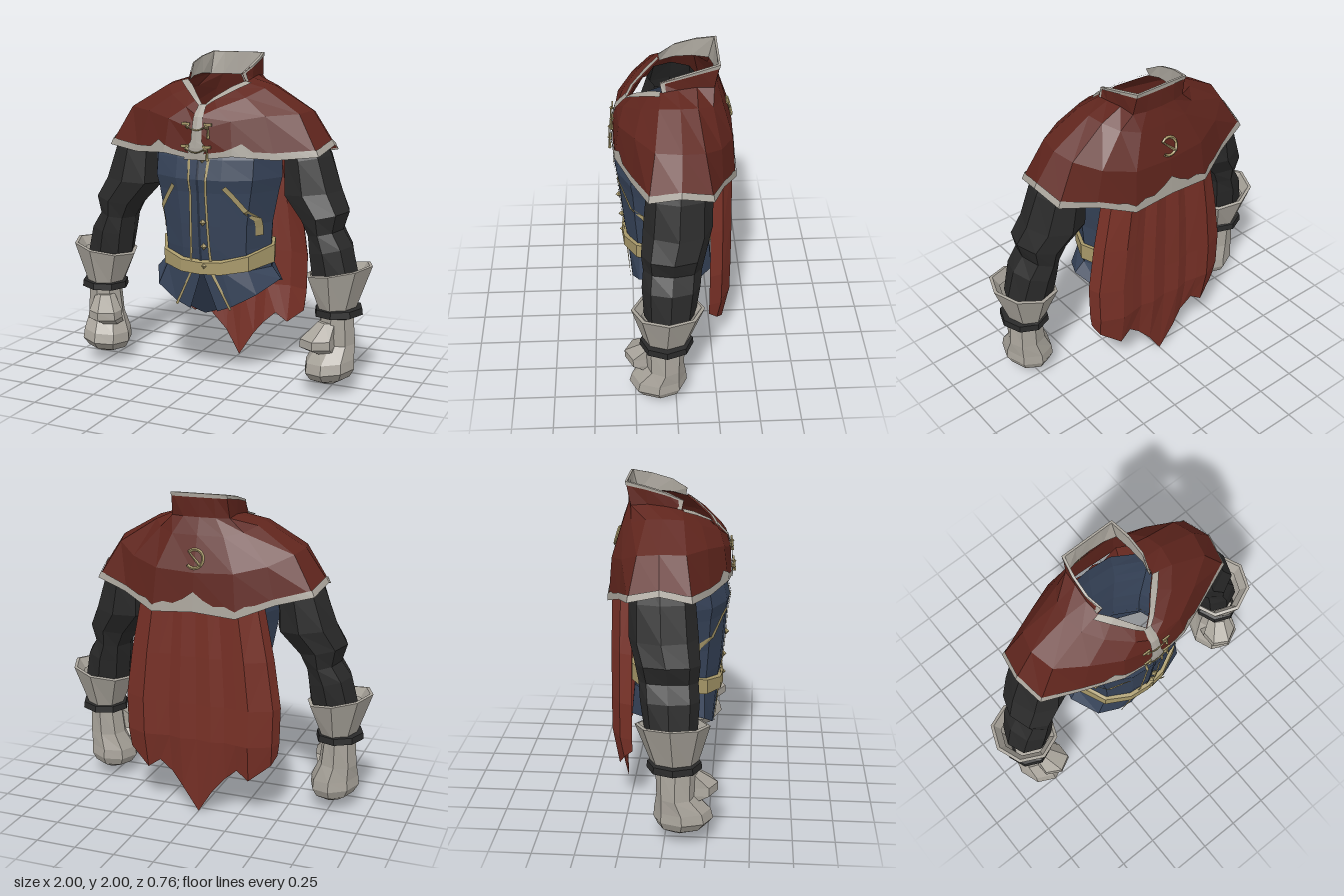
import * as THREE from 'three';

const mats = {};
const mat = (color) => (mats[color] ??= new THREE.MeshStandardMaterial({ color, flatShading: true, side: THREE.DoubleSide }));
const RED = 0x60251d, CAPE = 0x773026, BLUE = 0x37445a, NAVY = 0x252f40, BLACK = 0x292929, GOLD = 0xa8996a, GREY = 0xaaa59c;

const mirror = (p) => [-p[0], p[1], p[2]];
const lerp = (p, q, t) => p.map((v, i) => v + (q[i] - v) * t);
// half outline (front centre -> +x -> back centre) to a full loop
const full = (h) => [...h, ...h.slice(1, -1).reverse().map(mirror)];

// surface through rows of points, running from top to bottom
function loft(rows, { closed = true, cap = false } = {}) {
  const pos = [], n = rows[0].length;
  for (let i = 0; i < rows.length - 1; i++) {
    for (let j = 0; j < (closed ? n : n - 1); j++) {
      const k = (j + 1) % n, a = rows[i][j], b = rows[i][k], c = rows[i + 1][k], d = rows[i + 1][j];
      pos.push(...a, ...d, ...c, ...a, ...c, ...b);
    }
  }
  if (cap) {
    const top = rows[0], low = rows[rows.length - 1];
    for (let j = 1; j < n - 1; j++) pos.push(...top[0], ...top[j], ...top[j + 1], ...low[0], ...low[j + 1], ...low[j]);
  }
  const g = new THREE.BufferGeometry();
  g.setAttribute('position', new THREE.Float32BufferAttribute(pos, 3));
  g.computeVertexNormals();
  return g;
}

// torso levels: y, half width, front depth, back depth
const LEVELS = [[1.55, .38, .26, .28], [1.4, .42, .32, .275], [1.28, .42, .345, .26], [1.2, .4, .33, .25],
  [1, .36, .315, .24], [.85, .35, .3, .24], [.7, .355, .275, .24]];
const UNIT = [[0, 1], [.35, .96], [.75, .72], [1, .1], [.82, -.6], [.4, -.95], [0, -1]];
function section(y, grow = 0) {
  let i = 0;
  while (i < LEVELS.length - 2 && LEVELS[i + 1][0] > y) i++;
  const A = LEVELS[i], B = LEVELS[i + 1];
  const [, w, f, b] = lerp(A, B, (A[0] - y) / (A[0] - B[0]));
  return UNIT.map(([u, v]) => [u * (w + grow), y, v * ((v > 0 ? f : b) + grow)]);
}
function frontZ(x, y) {
  const s = section(y), ax = Math.abs(x);
  let i = 0;
  while (i < 2 && s[i + 1][0] < ax) i++;
  return s[i][2] + (s[i + 1][2] - s[i][2]) * (ax - s[i][0]) / (s[i + 1][0] - s[i][0]);
}

// capelet outlines from neckline to hem
const NECK = [[0, 1.7, .25], [.05, 1.75, .21], [.13, 1.81, .12], [.19, 1.84, .06], [.2, 1.86, -.03], [.19, 1.87, -.14], [.18, 1.86, -.24], [.1, 1.86, -.26], [0, 1.86, -.265]];
const YOKE = [[0, 1.65, .32], [.1, 1.7, .28], [.24, 1.76, .18], [.32, 1.81, .08], [.34, 1.82, -.04], [.32, 1.81, -.14], [.26, 1.78, -.23], [.16, 1.76, -.29], [0, 1.76, -.3]];
const CHEST = [[0, 1.57, .345], [.2, 1.63, .31], [.38, 1.66, .22], [.55, 1.67, .11], [.585, 1.68, -.04], [.55, 1.66, -.17], [.42, 1.6, -.27], [.24, 1.56, -.35], [0, 1.55, -.36]];
const HEM = [[0, 1.41, .35], [.22, 1.44, .335], [.45, 1.42, .24], [.68, 1.44, .15], [.715, 1.49, -.03], [.68, 1.44, -.21], [.47, 1.39, -.28], [.26, 1.31, -.37], [0, 1.33, -.375]];
const COLLAR = [[.17, 1.89, .07], [.2, 1.94, -.03], [.195, 1.975, -.15], [.17, 2, -.27], [.09, 2, -.27], [0, 2, -.27]];

// arm rings: y, centre x, centre z, radius x, radius z, tilt
const SLEEVE = [[1.55, .5, -.03, .13, .16, .2], [1.4, .565, -.025, .145, .19, .15], [1.2, .6, -.015, .185, .2, .1], [1.07, .69, .015, .15, .185, .2],
  [.97, .7, .02, .105, .17, .2], [.87, .735, .03, .135, .17, .2], [.68, .77, .04, .15, .15, .1]];
const CUFF = [[.7, .79, .05, .15, .155, .2], [.755, .795, .05, .185, .195, .2], [.75, .795, .05, .205, .215, .2], [.51, .79, .06, .11, .135, 0]];
const STRAP = [[.535, .8, .06, .1, .12, 0], [.525, .8, .06, .145, .155, .05], [.485, .8, .06, .15, .16, .05], [.47, .8, .06, .09, .11, 0]];
const HAND = [[.5, .795, .07, .1, .12, 0], [.31, .79, .07, .12, .115, 0], [.21, .765, .105, .15, .165, .1], [.15, .765, .11, .155, .175, .1], [.1, .765, .1, .125, .14, .1], [.07, .755, .09, .07, .08, 0]];
const THUMB = [[.45, .76, .14, .06, .06, 0], [.36, .72, .21, .105, .1, 0], [.31, .72, .21, .11, .1, 0], [.265, .73, .14, .09, .08, 0]];

export function createModel() {
  const root = new THREE.Group();
  const add = (name, geo, color, parent = root) => {
    const m = new THREE.Mesh(geo, mat(color));
    m.name = name;
    parent.add(m);
    return m;
  };
  // strip between two half edges, drawn on both sides of the body
  const pair = (name, rows, color) => {
    add(name + 'Left', loft(rows, { closed: false }), color);
    add(name + 'Right', loft(rows.map((r) => r.map(mirror).reverse()), { closed: false }), color);
  };

  // hollow torso, belt and coat skirt
  add('torso', loft(LEVELS.map((l) => full(section(l[0])))), BLUE);
  const beltEdge = (grow, side, dip) => full(section(.78, grow).map(([x, , z]) => [x, side - dip * Math.max(0, z / .3) ** 2, z]));
  add('belt', loft([beltEdge(0, .86, .085), beltEdge(.022, .86, .085), beltEdge(.022, .75, .05), beltEdge(0, .75, .05)]), GOLD);
  const skirtHem = [[.09, .46, .255], [.19, .5, .25], [.33, .58, .21], [.42, .65, .04], [.36, .59, -.15], [.17, .53, -.25], [0, .61, -.25]];
  pair('skirt', [section(.72, .005), skirtHem], BLUE);
  pair('innerFlap', [[[0, .72, .265], [.03, .72, .265]], [[0, .435, .235], [.13, .48, .235]]], NAVY);

  // gold piping laid on the coat front
  const piping = (name, pts, w, lift) => {
    const at = (x, y) => [x, y, (y < .7 ? .278 - (.7 - y) * .12 : frontZ(x, y)) + lift];
    const edge = (s) => pts.map(([x, y], i) => {
      const p = pts[Math.max(0, i - 1)], q = pts[Math.min(pts.length - 1, i + 1)], l = Math.hypot(q[0] - p[0], q[1] - p[1]);
      return at(x - s * w * (q[1] - p[1]) / l, y + s * w * (q[0] - p[0]) / l);
    });
    pair(name, [edge(-1), edge(1)], GOLD);
  };
  piping('frontPiping', [[.065, 1.43], [.055, 1.28], [.05, 1.2], [.055, 1], [.06, .85], [.07, .7], [.18, .48]], .008, .01);
  piping('pocket', [[.165, 1.24], [.2, 1.195], [.24, 1.14], [.275, 1.09], [.315, 1.03], [.317, .98], [.315, .93]], .014, .016);
  pair('frontSeam', [LEVELS.slice(1).map(([y]) => [0, y, frontZ(0, y) + .006]), LEVELS.slice(1).map(([y]) => [.008, y, frontZ(.008, y) + .006])], NAVY);
  for (const y of [1.4, 1.02, .87, .75]) {
    add('button', new THREE.OctahedronGeometry(.022), GOLD).position.set(.025, y, frontZ(.025, y) + (y < .8 ? .022 : .008));
  }

  // capelet with its hem, neckline and collar
  add('capelet', loft([NECK, YOKE, CHEST, HEM].map(full)), RED);
  const peaks = { 4: .2, 5: .34, 6: .13, 13: .12, 27: .18, 29: .22, 30: .18, 31: .3, 32: .5 };
  const low = [], high = [];
  for (let k = 0; k <= 32; k++) {
    const i = Math.min(7, k >> 2), t = (k - 4 * i) / 4;
    const h = lerp(HEM[i], HEM[i + 1], t), c = lerp(CHEST[i], CHEST[i + 1], t);
    const out = ([x, y, z], dy) => [x * 1.012, y + dy, z * 1.02];
    low.push(out(h, -.01));
    high.push(out(lerp(h, c, peaks[k] ?? .13), 0));
  }
  add('hemTrim', loft([full(high), full(low)]), GREY);
  const raise = ([x, y, z]) => [x, y + .008, z + .006];
  pair('neckTrim', [NECK.slice(0, 4).map(raise), NECK.slice(0, 4).map((p, i) => raise(lerp(p, YOKE[i], .32)))], GREY);
  const base = NECK.slice(3);
  pair('collar', [COLLAR, base], RED);
  const inset = ([x, y, z]) => [x * .95, y, z > 0 ? z : z + .01];
  pair('collarLining', [COLLAR.map(inset), base.map(inset)], GREY);
  const outset = ([x, y, z]) => [x * 1.02, y, z - .003];
  pair('collarTrim', [COLLAR.map(inset), COLLAR.map(outset), COLLAR.map((p, i) => outset(lerp(p, base[i], .17)))], GREY);
  pair('collarFrontTrim', [[COLLAR[0], lerp(COLLAR[0], COLLAR[1], .25)].map(outset), [base[0], lerp(base[0], base[1], .25)].map(outset)], GREY);
  const placket = [[1.72, .025, .262], [1.65, .03, .33], [1.57, .032, .352], [1.51, .035, .357], [1.47, .065, .36], [1.44, .05, .36], [1.4, .085, .358]];
  pair('placket', [placket.map(([y, , z]) => [0, y, z]), placket.map(([y, w, z]) => [w, y, z - .003])], GREY);

  // two clasps with hanging chains
  for (const [y, z] of [[1.6, .345], [1.47, .36]]) {
    const clasp = new THREE.Group();
    clasp.name = 'clasp';
    clasp.position.set(0, y, z);
    root.add(clasp);
    for (const s of [-1, 1]) {
      add('claspPlate', new THREE.BoxGeometry(.05, .016, .01), GOLD, clasp).position.set(s * .07, .01, 0);
      add('claspStud', new THREE.OctahedronGeometry(.015), GOLD, clasp).position.set(s * .06, -.005, .004);
    }
    const sag = new THREE.QuadraticBezierCurve3(new THREE.Vector3(-.06, 0, .008), new THREE.Vector3(0, -.05, .012), new THREE.Vector3(.06, 0, .008));
    add('claspChain', new THREE.TubeGeometry(sag, 6, .004, 4), GOLD, clasp);
    add('claspTassel', new THREE.CylinderGeometry(.004, .01, .07, 4), GOLD, clasp).position.set(.075, -.035, .006);
  }

  // crescent ornament on the back
  const ornament = new THREE.Group();
  ornament.name = 'backOrnament';
  ornament.position.set(0, 1.63, -.343);
  ornament.rotation.x = .28;
  root.add(ornament);
  add('crescent', new THREE.TorusGeometry(.055, .009, 4, 12, Math.PI * 1.5), GOLD, ornament).rotation.z = Math.PI * .25;
  add('pin', new THREE.CylinderGeometry(.004, .009, .12, 4), GOLD, ornament).rotation.z = -.8;

  // long cape; columns: width share, depth, hem height
  const columns = [[0, -.33, .005], [.2, -.348, .16], [.36, -.325, .25], [.52, -.34, .32], [.68, -.352, .265], [.95, -.29, .37], [1, -.215, .42]];
  const capeRow = (w, y, dz) => columns.map(([u, z, hem]) => [u * w, y ?? hem, (y ? z : z * .7 - .065) + (u < 1 ? dz : 0)]);
  pair('cape', [capeRow(.38, 1.4, .005), capeRow(.455, 1.03, 0), capeRow(.5, .73, 0), capeRow(.495, .5, 0), capeRow(.485, null, 0)], CAPE);

  // arms
  const ring = ([y, cx, cz, rx, rz, tilt], n) => Array.from({ length: n }, (_, i) => {
    const a = (i / n) * Math.PI * 2, x = Math.sin(a) * rx;
    return [cx + x, y + x * tilt, cz + Math.cos(a) * rz];
  });
  for (const s of [1, -1]) {
    const arm = new THREE.Group();
    arm.name = s > 0 ? 'leftArm' : 'rightArm';
    root.add(arm);
    const limb = (name, rows, color, n, cap) => {
      const rings = rows.map((r) => ring(r, n));
      add(name, loft(s > 0 ? rings : rings.map((r) => r.map(mirror).reverse()), { cap }), color, arm);
    };
    limb('sleeve', SLEEVE, BLACK, 8, false);
    limb('cuff', CUFF, GREY, 8, false);
    limb('wristStrap', STRAP, BLACK, 8, false);
    limb('glove', HAND, GREY, 8, true);
    limb('thumb', THUMB, GREY, 6, true);
  }
  return root;
}
